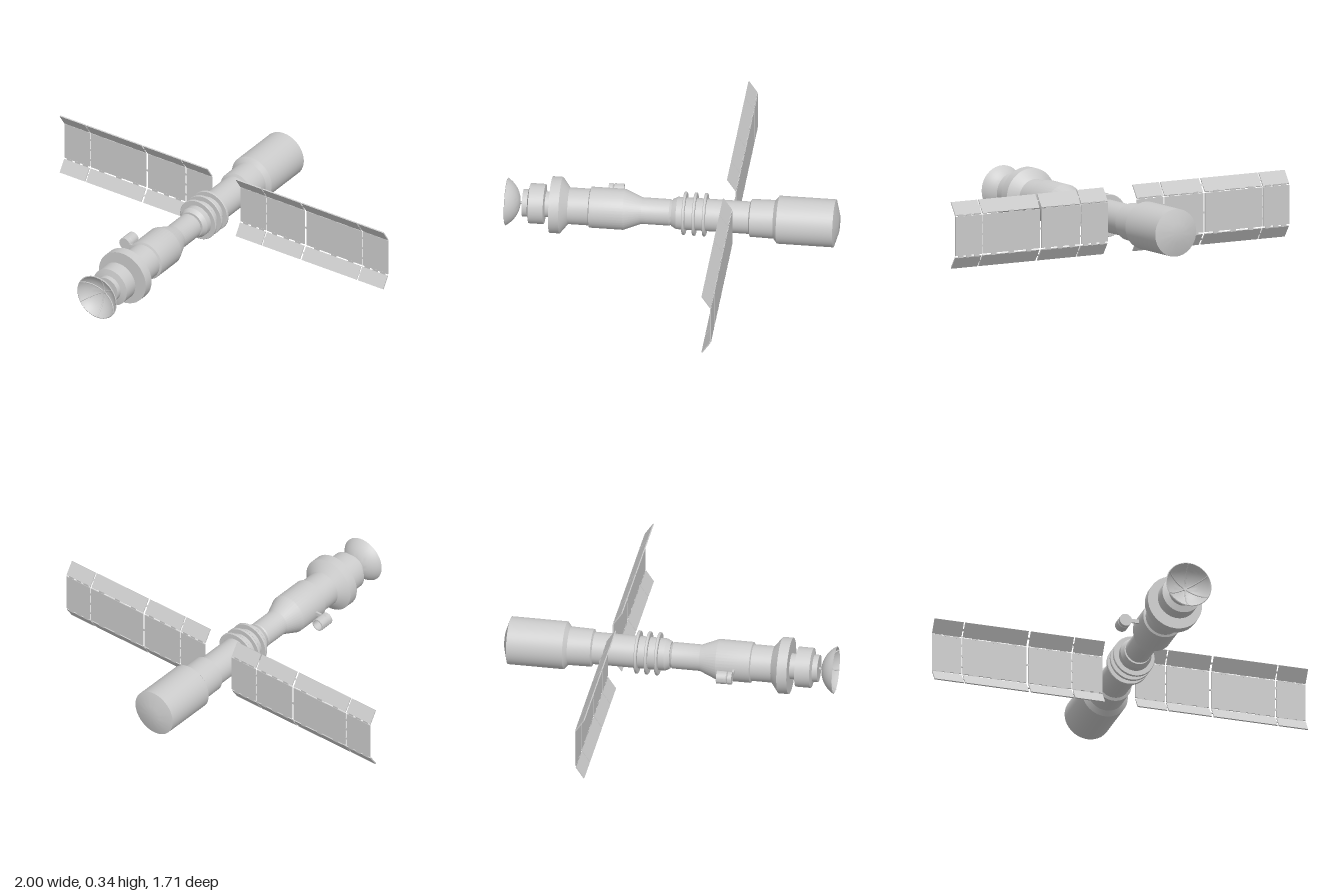
import * as THREE from 'three';
import { toCreasedNormals } from 'three/addons/utils/BufferGeometryUtils.js';

const AXIS_Y = 0.177;
const material = new THREE.MeshStandardMaterial({ color: 0xcccccc });
const thinMaterial = new THREE.MeshStandardMaterial({ color: 0xcccccc, side: THREE.DoubleSide });

function add(parent, name, geometry, x = 0, y = 0, z = 0, mat = material) {
  const mesh = new THREE.Mesh(geometry, mat);
  mesh.name = name;
  mesh.position.set(x, y, z);
  parent.add(mesh);
  return mesh;
}

// Turned part along z from [z, radius] pairs, listed from back to front
function turned(profile, segments = 40) {
  const points = profile.map(([z, r]) => new THREE.Vector2(r, z));
  const geometry = new THREE.LatheGeometry(points, segments).rotateX(Math.PI / 2);
  return toCreasedNormals(geometry, 0.4);
}

// Shallow dish with six inner ribs and a feed pin behind it
function createDish() {
  const dish = new THREE.Group();
  dish.name = 'dish';
  const R = 0.141, back = 0.78, maxAngle = Math.asin(0.122 / R);
  const at = (t, inset) => [back + R - (R - inset) * Math.cos(t), (R - inset) * Math.sin(t)];
  const steps = Array.from({ length: 11 }, (_, i) => (i / 10) * maxAngle);
  const outer = steps.map(t => at(t, 0));
  const inner = steps.map(t => at(t, 0.005));
  add(dish, 'dishShell', turned([...outer, ...inner.reverse()]), 0, 0, 0, thinMaterial);
  const ribPath = new THREE.CatmullRomCurve3(steps.map(t => {
    const [z, r] = at(t, 0.006);
    return new THREE.Vector3(0, r, z);
  }));
  for (let i = 0; i < 6; i++) {
    const rib = add(dish, 'dishRib', new THREE.TubeGeometry(ribPath, 12, 0.0035, 6));
    rib.rotation.z = (i * Math.PI) / 3;
  }
  add(dish, 'dishHub', turned([[0.782, 0], [0.782, 0.01], [0.792, 0.01], [0.792, 0]], 16));
  add(dish, 'dishPin', turned([[0.76, 0.007], [0.785, 0.007]], 12));
  return dish;
}

// One wing: a flat middle row with both edge rows folded forward
function createWing() {
  const wing = new THREE.Group();
  const splits = [0.088, 0.25, 0.49, 0.84, 1.0];
  const gaps = [0, 0.008, 0.012, 0.008, 0];
  const rows = [
    { name: 'lowerFlap', from: [0.001, -0.272], to: [0.062, -0.313] },
    { name: 'middlePanel', from: [0.07, -0.316], to: [0.272, -0.316] },
    { name: 'upperFlap', from: [0.277, -0.315], to: [0.342, -0.272] },
  ];
  const thickness = 0.006;
  for (const { name, from, to } of rows) {
    const dy = to[0] - from[0], dz = to[1] - from[1];
    const height = Math.hypot(dy, dz), tilt = Math.atan2(dz, dy);
    const y = (from[0] + to[0]) / 2, z = (from[1] + to[1]) / 2;
    for (let i = 0; i < 4; i++) {
      const x0 = splits[i] + gaps[i] / 2, x1 = splits[i + 1] - gaps[i + 1] / 2;
      const panel = add(wing, name, new THREE.BoxGeometry(x1 - x0, height, thickness), (x0 + x1) / 2, y, z);
      panel.rotation.x = tilt;
    }
    // Small links across the vertical gaps
    const spots = name === 'middlePanel' ? [-0.06, 0, 0.06] : [0];
    for (let i = 1; i < 4; i++) {
      for (const dySpot of spots) {
        if (i === 2 && dySpot !== 0) continue;
        const link = add(wing, 'panelLink', new THREE.BoxGeometry(0.02, 0.01, 0.004), splits[i], y + dySpot, z);
        link.rotation.x = tilt;
      }
    }
  }
  // Hinges along both folds
  for (const y of [0.066, 0.2745]) {
    for (let i = 0; i < 4; i++) {
      for (const f of [0.2, 0.5, 0.8]) {
        const x = THREE.MathUtils.lerp(splits[i], splits[i + 1], f);
        add(wing, 'foldHinge', new THREE.BoxGeometry(0.03, 0.016, 0.005), x, y, -0.315);
      }
    }
  }
  return wing;
}

// Side sensor: open cup facing back, a cap and a bracket to the hull
function createSensor() {
  const sensor = new THREE.Group();
  sensor.name = 'sideSensor';
  add(sensor, 'sensorCup', turned([
    [0.31, 0], [0.31, 0.025], [0.268, 0.027], [0.268, 0.033], [0.318, 0.033], [0.322, 0.028],
    [0.326, 0.033], [0.347, 0.033], [0.347, 0],
  ], 24), -0.175, 0, 0, thinMaterial);
  add(sensor, 'sensorBracket', new THREE.BoxGeometry(0.07, 0.02, 0.01), -0.12, 0, 0.342);
  return sensor;
}

export function createModel() {
  const model = new THREE.Group();
  model.name = 'spaceStation';

  const body = new THREE.Group();
  body.name = 'body';
  body.position.y = AXIS_Y;
  model.add(body);

  // Rear half of the hull
  add(body, 'rearHull', turned([
    [-0.857, 0], [-0.857, 0.05], [-0.835, 0.123], [-0.545, 0.123], [-0.525, 0.099], [-0.405, 0.097],
    [-0.398, 0.083], [-0.025, 0.083], [0, 0.07], [0, 0],
  ]));
  // Front half of the hull
  add(body, 'frontHull', turned([
    [0, 0], [0, 0.06], [0.012, 0.068], [0.155, 0.068], [0.245, 0.105], [0.42, 0.105], [0.425, 0.094],
    [0.53, 0.094], [0.57, 0.145], [0.622, 0.145], [0.622, 0.066], [0.65, 0.066], [0.655, 0.103],
    [0.732, 0.103], [0.74, 0.07], [0.767, 0.07], [0.767, 0],
  ]));
  // Three collar rings
  for (const z of [-0.064, -0.117, -0.17]) {
    add(body, 'collarRing', turned([
      [-0.007, 0.08], [-0.007, 0.108], [-0.004, 0.111], [0.004, 0.111], [0.007, 0.108], [0.007, 0.08],
    ]), 0, 0, z);
  }
  body.add(createDish(), createSensor());

  const leftWing = createWing();
  leftWing.name = 'leftWing';
  const rightWing = createWing();
  rightWing.name = 'rightWing';
  rightWing.scale.x = -1;
  model.add(leftWing, rightWing);

  return model;
}
